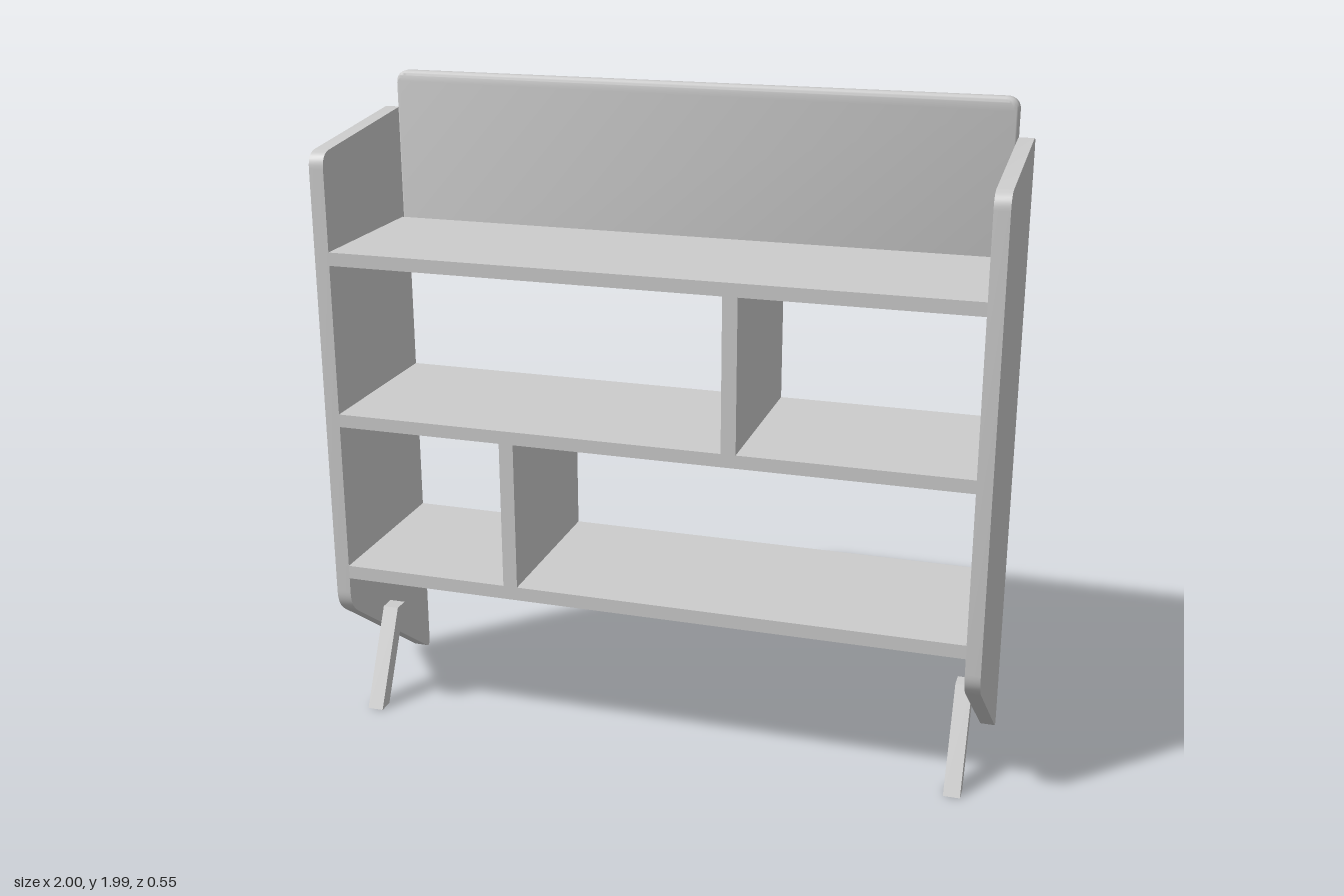
import * as THREE from 'three';
import { toCreasedNormals } from 'three/addons/utils/BufferGeometryUtils.js';

const material = new THREE.MeshStandardMaterial({ color: 0xcccccc });
const HALF_DEPTH = 0.275;
const INNER = 0.955; // inside face of the side panels

// Polygon whose corners [x, y, r] are rounded over a length r
function roundedShape(corners) {
  const shape = new THREE.Shape();
  const n = corners.length;
  const pts = corners.map(([x, y]) => new THREE.Vector2(x, y));
  pts.forEach((p, i) => {
    const r = corners[i][2] || 0;
    const toward = (q) => q.clone().sub(p).setLength(r).add(p);
    const a = toward(pts[(i + n - 1) % n]);
    const b = toward(pts[(i + 1) % n]);
    if (i === 0) shape.moveTo(a.x, a.y);
    else shape.lineTo(a.x, a.y);
    if (r > 0) shape.quadraticCurveTo(p.x, p.y, b.x, b.y);
  });
  shape.closePath();
  return shape;
}

function addMesh(parent, name, geometry) {
  const mesh = new THREE.Mesh(geometry, material);
  mesh.name = name;
  parent.add(mesh);
}

// Box given by its limits
function addBox(parent, name, x0, x1, y0, y1, z0, z1) {
  const geometry = new THREE.BoxGeometry(x1 - x0, y1 - y0, z1 - z0);
  geometry.translate((x0 + x1) / 2, (y0 + y1) / 2, (z0 + z1) / 2);
  addMesh(parent, name, geometry);
}

// Outline in (z, y), extruded along x from x0 to x1
function sideProfile(corners, x0, x1) {
  const geometry = new THREE.ExtrudeGeometry(roundedShape(corners), {
    depth: x1 - x0, bevelEnabled: false, curveSegments: 8,
  });
  geometry.rotateY(-Math.PI / 2).translate(x1, 0, 0);
  return toCreasedNormals(geometry, 0.6);
}

export function createModel() {
  const model = new THREE.Group();
  model.name = 'bookcase';

  const panelOutline = [
    [-HALF_DEPTH, -0.008, 0.035],
    [HALF_DEPTH, 0.39, 0.05],
    [HALF_DEPTH, 1.814, 0.045],
    [-HALF_DEPTH, 1.874, 0.035],
  ];
  const legOutline = [[0.155, 0], [0.205, 0], [0.056, 0.295], [0.006, 0.295]];

  // Side panels and the slanted front legs fixed to their inside faces
  for (const [side, s] of [['left', 1], ['right', -1]]) {
    const span = (a, b) => (s > 0 ? [a, b] : [-b, -a]);
    addMesh(model, side + 'SidePanel', sideProfile(panelOutline, ...span(INNER, 1)));
    addMesh(model, side + 'Leg', sideProfile(legOutline, ...span(0.905, INNER)));
  }

  // Shelves; the top one stops at the back board
  addBox(model, 'bottomShelf', -INNER, INNER, 0.488, 0.53, -HALF_DEPTH, HALF_DEPTH);
  addBox(model, 'middleShelf', -INNER, INNER, 0.986, 1.026, -HALF_DEPTH, HALF_DEPTH);
  addBox(model, 'topShelf', -INNER, INNER, 1.485, 1.525, -0.23, HALF_DEPTH);

  // Dividers
  addBox(model, 'lowerDivider', -0.44, -0.396, 0.53, 0.986, -HALF_DEPTH, HALF_DEPTH);
  addBox(model, 'upperDivider', 0.235, 0.279, 1.026, 1.485, -HALF_DEPTH, HALF_DEPTH);

  // Back board with rounded upper corners and softened edges
  const bevel = 0.014;
  const w = INNER - bevel;
  const bottom = 1.485;
  const board = new THREE.ExtrudeGeometry(
    roundedShape([[-w, bottom], [w, bottom], [w, 1.985 - bevel, 0.025], [-w, 1.985 - bevel, 0.025]]),
    { depth: 0.045 - 2 * bevel, bevelSize: bevel, bevelThickness: bevel, bevelSegments: 4, curveSegments: 6 },
  );
  board.translate(0, 0, -HALF_DEPTH + bevel);
  // Square off the lower edge so it sits flush with the shelf
  const pos = board.attributes.position;
  for (let i = 0; i < pos.count; i++) {
    if (pos.getY(i) < bottom + 0.05) pos.setY(i, bottom);
  }
  addMesh(model, 'backBoard', toCreasedNormals(board, 0.6));

  return model;
}
